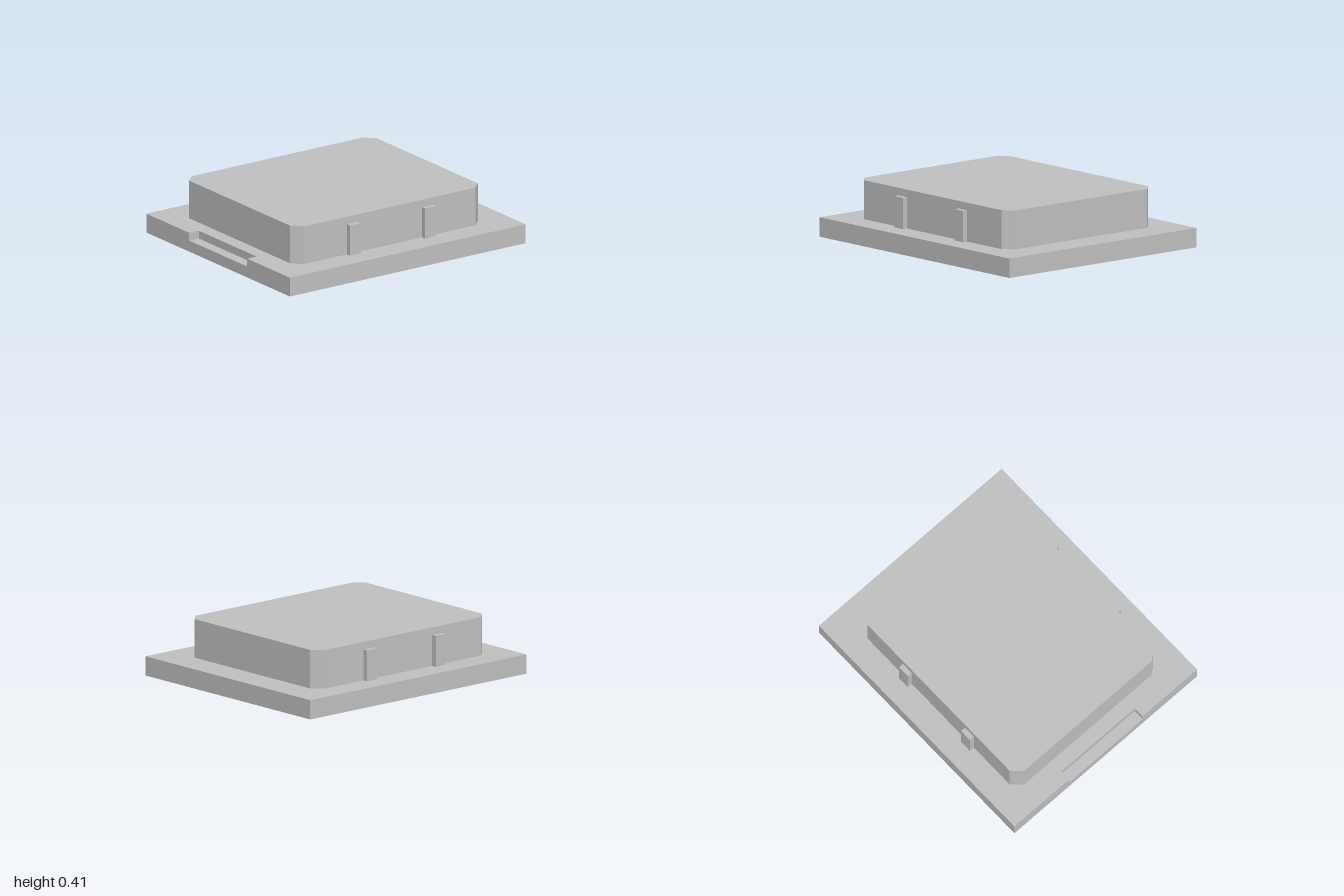
import * as THREE from 'three';

export function createModel() {
  const group = new THREE.Group();
  group.name = 'coverPlate';
  const grey = new THREE.MeshStandardMaterial({ color: 0xc0c0c0 });
  grey.name = 'grey';

  const add = (name, geometry, x = 0, y = 0, z = 0) => {
    const mesh = new THREE.Mesh(geometry, grey);
    mesh.name = name;
    mesh.position.set(x, y, z);
    group.add(mesh);
  };

  // Extrudes a plan outline of [x, z] points upwards from y0 to y1
  const slab = (name, outline, y0, y1) => {
    const shape = new THREE.Shape(outline.map(([x, z]) => new THREE.Vector2(x, -z)));
    const geometry = new THREE.ExtrudeGeometry(shape, { depth: y1 - y0, bevelEnabled: false });
    add(name, geometry.rotateX(-Math.PI / 2), 0, y0, 0);
  };

  const W = 0.855, baseTop = 0.137, notchFloor = 0.08;

  // Base plate: plain lower layer, upper layer with the front notch
  add('basePlate', new THREE.BoxGeometry(2 * W, notchFloor, 2), 0, notchFloor / 2, 0);
  const n = 0.345, nz = 0.92, c = 0.008;
  slab('notchedPlate', [
    [-W, 1], [-n, 1], [-n, nz + c], [-n + c, nz], [n - c, nz], [n, nz + c], [n, 1],
    [W, 1], [W, -1], [-W, -1],
  ], notchFloor, baseTop);

  // Raised block with chamfered corners
  const x = 0.67, front = 0.817, back = -0.774, k = 0.069;
  slab('raisedBlock', [
    [-x + k, front], [x - k, front], [x, front - k], [x, back + k],
    [x - k, back], [-x + k, back], [-x, back + k], [-x, front - k],
  ], baseTop, 0.411);

  // Ribs on both flanks
  const ribHeight = 0.22;
  for (const side of [-1, 1]) {
    for (const z of [0.338, -0.297]) {
      add('sideRib', new THREE.BoxGeometry(0.04, ribHeight, 0.09),
        side * 0.687, baseTop + ribHeight / 2, z);
    }
  }
  return group;
}
